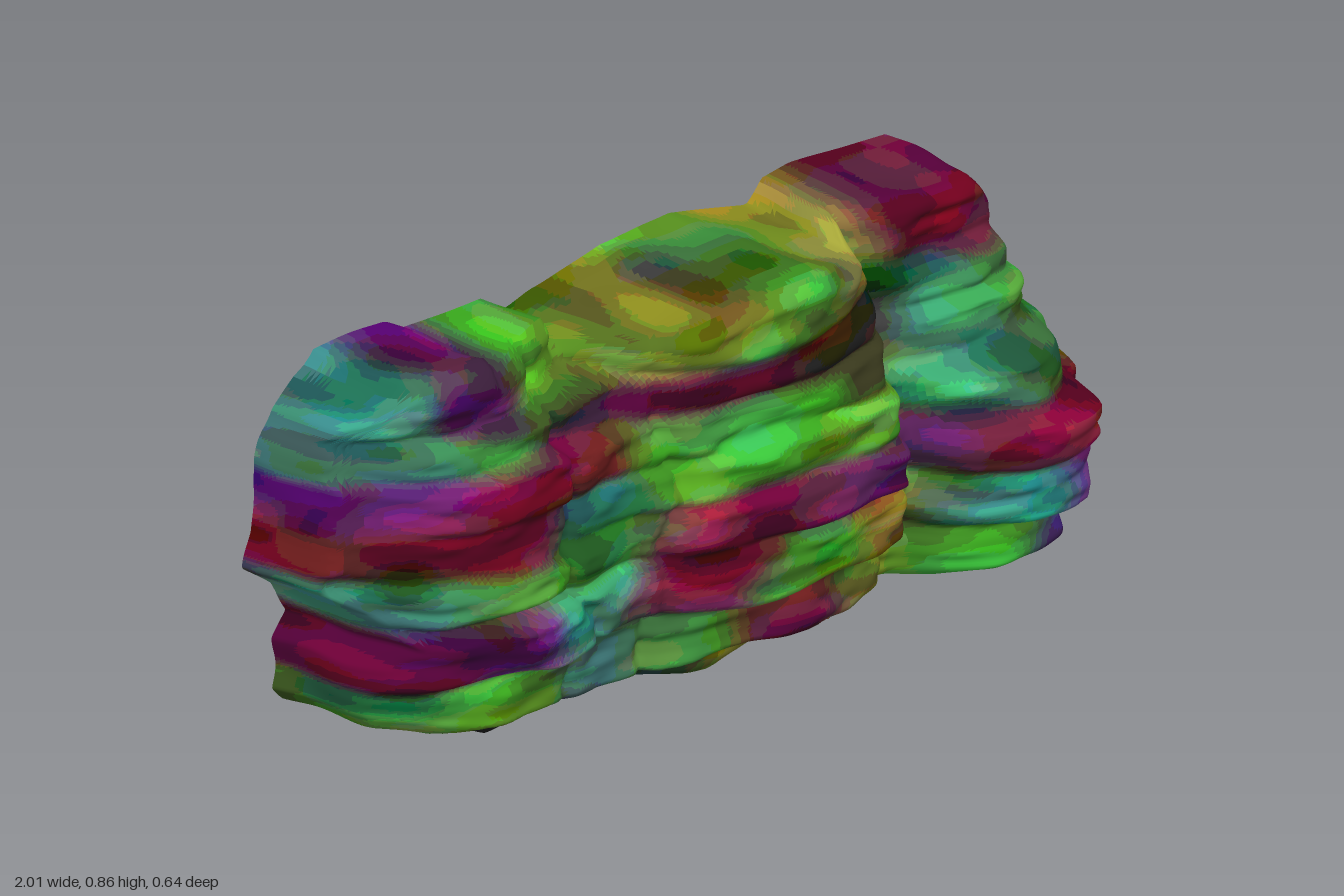
import * as THREE from 'three';

const { clamp, smoothstep } = THREE.MathUtils;

// Piecewise-linear lookup through [input, output] pairs
function lookup(pairs, v) {
  if (v <= pairs[0][0]) return pairs[0][1];
  for (let i = 1; i < pairs.length; i++) {
    const [a, p] = pairs[i - 1], [b, q] = pairs[i];
    if (v <= b) return p + (q - p) * (v - a) / (b - a);
  }
  return pairs[pairs.length - 1][1];
}

// Seeded smooth value noise, -1..1
function hash(x, y, z) {
  const s = Math.sin(x * 127.1 + y * 311.7 + z * 74.7) * 43758.5453;
  return (s - Math.floor(s)) * 2 - 1;
}
function noise(x, y, z) {
  const f = [x, y, z].map(Math.floor);
  const t = [x - f[0], y - f[1], z - f[2]].map(v => v * v * (3 - 2 * v));
  let sum = 0;
  for (let c = 0; c < 8; c++) {
    const o = [c & 1, (c >> 1) & 1, c >> 2];
    const w = o.reduce((p, k, i) => p * (k ? t[i] : 1 - t[i]), 1);
    sum += w * hash(f[0] + o[0], f[1] + o[1], f[2] + o[2]);
  }
  return sum;
}

// Silhouette of the rock: ends against height, then top and underside against the share of the half width
const LEFT = [[0.1, -0.88], [0.14, -0.92], [0.25, -0.92], [0.3, -0.88], [0.37, -0.93], [0.42, -1], [0.5, -0.98], [0.65, -0.97], [0.75, -0.93], [0.83, -0.84]];
const RIGHT = [[0.07, 0.88], [0.15, 0.92], [0.3, 0.93], [0.37, 0.98], [0.42, 1], [0.5, 0.98], [0.58, 0.95], [0.65, 0.9], [0.72, 0.88], [0.83, 0.84]];
const TOP = [[-1, 0.8], [-0.97, 0.845], [-0.72, 0.85], [-0.69, 0.82], [-0.385, 0.82], [-0.31, 0.765], [-0.26, 0.78], [-0.22, 0.8], [0, 0.845], [0.24, 0.85], [0.49, 0.81], [0.55, 0.85], [0.65, 0.857], [0.97, 0.845], [1, 0.82]];
const BOTTOM = [[-1, 0.11], [-0.8, 0.065], [-0.68, 0.025], [-0.28, 0.04], [0, 0.01], [0.23, 0.02], [0.27, 0.06], [0.51, 0.07], [1, 0.07]];

// Depth of the front of each stratum (bottom to top) at these x stations
const STATIONS = [-0.95, -0.8, -0.6, -0.4, -0.28, -0.21, -0.1, 0.15, 0.38, 0.47, 0.55, 0.7, 0.84, 0.93];
const DEPTH = [
  [-0.25, -0.15, 0, -0.03, -0.05, -0.01, 0.03, 0.02, 0.02, 0, 0.08, 0.13, 0.08, -0.05],
  [-0.15, 0.04, 0.08, 0.06, 0.05, 0.07, 0.1, 0.13, 0.1, 0.05, 0.14, 0.19, 0.16, 0],
  [-0.1, 0.1, 0.15, 0.12, 0.08, 0.12, 0.17, 0.2, 0.18, 0.1, 0.23, 0.285, 0.25, 0.08],
  [-0.12, 0.07, 0.12, 0.1, 0.08, 0.12, 0.17, 0.21, 0.19, 0.1, 0.25, 0.31, 0.26, 0.08],
  [-0.1, 0.04, 0.09, 0.08, 0.07, 0.11, 0.15, 0.18, 0.16, 0.08, 0.16, 0.22, 0.16, 0.02],
  [-0.12, 0.05, 0.11, 0.08, 0.05, 0.08, 0.13, 0.15, 0.12, 0.03, 0.07, 0.1, 0.06, -0.05],
  [-0.18, 0, 0.06, 0.02, 0, 0.06, 0.11, 0.135, 0.09, 0, 0.03, 0.04, 0.01, -0.1],
  [-0.2, -0.03, 0, -0.08, -0.12, 0.06, 0.14, 0.17, 0.07, -0.08, -0.02, -0.01, -0.04, -0.15],
];
const JOINTS = [0.07, 0.2, 0.325, 0.435, 0.53, 0.64, 0.72]; // heights between strata
const SPLITS = [-0.45, -0.2, 0.45];                         // x of upright cracks
const BACK = -0.316;

// Stone colours along each stratum (bottom to top), left to right
const PALETTE = {
  g: [0.27, 0.62, 0.17], d: [0.14, 0.2, 0.1], m: [0.42, 0.06, 0.2], p: [0.4, 0.1, 0.45],
  n: [0.15, 0.1, 0.36], t: [0.22, 0.58, 0.46], o: [0.46, 0.48, 0.12],
};
const COLOURS = ['ddddoddd', 'ggtgmogn', 'mptmgotp', 'tggmmpmm', 'mmtgggtg', 'pmmggdtg', 'tgdmmdtg', 'tpgogomm'];

const jointHeight = (k, x) => JOINTS[k] + 0.012 * noise(x * 4, k * 9, 1);

// Rounded interpolation of one stratum's depth, without overshoot
function rowDepth(k, x) {
  const Z = DEPTH[k], S = STATIONS, last = S.length - 1;
  const slope = i => (Z[i + 1] - Z[i]) / (S[i + 1] - S[i]);
  const tangent = i => {
    const a = slope(Math.max(i - 1, 0)), b = slope(Math.min(i, last - 1));
    return a * b <= 0 ? 0 : 2 * a * b / (a + b);
  };
  const v = clamp(x, S[0], S[last]);
  const i = Math.min(S.filter(s => s <= v).length - 1, last - 1);
  const h = S[i + 1] - S[i], t = (v - S[i]) / h, u = 1 - t;
  return u * u * (1 + 2 * t) * Z[i] + t * t * (3 - 2 * t) * Z[i + 1] + t * u * h * (u * tangent(i) - t * tangent(i + 1));
}

function frontDepth(x, y) {
  const rows = DEPTH.map((_, k) => rowDepth(k, x));
  let z = rows[0];
  JOINTS.forEach((_, k) => {
    const d = y - jointHeight(k, x);
    // Sharp ledge from one stratum to the next, with a crevice along it
    z += (rows[k + 1] - rows[k]) * smoothstep(d, -0.018, 0.018);
    z -= (k === 2 ? 0.04 : 0.02) * (0.8 + 0.6 * noise(x * 5, k * 7, 8)) * Math.exp(-((d / 0.011) ** 2));
  });
  SPLITS.forEach((s, k) => {
    const d = x - s - 0.03 * noise(k, y * 8, 5);
    z -= 0.022 * Math.exp(-((d / 0.018) ** 2));
  });
  return z + 0.014 * noise(x * 6, y * 18, 2) + 0.009 * noise(x * 14, y * 45, 3);
}

// Mottled stone colour at a point, rounded to a few steps per channel
function stoneColour(x, y, z) {
  const wx = x + 0.06 * noise(x * 6, y * 12, z * 5 + 7);
  const wy = y + 0.02 * noise(x * 5 + 20, y * 14, z * 4);
  const column = clamp((wx + 0.88) / 0.25, 0, 6.999), c = Math.floor(column);
  const blend = smoothstep(column - c, 0.2, 0.8);
  const weights = JOINTS.map((_, k) => smoothstep(wy - jointHeight(k, x), -0.022, 0.022));
  const shade = 0.88 + 0.5 * noise(x * 7 + 3, y * 24, z * 6);
  return [0, 1, 2].map(ch => {
    const layers = COLOURS.map(row => PALETTE[row[c]][ch] * (1 - blend) + PALETTE[row[c + 1]][ch] * blend);
    let v = layers[0];
    weights.forEach((w, k) => { v += (layers[k + 1] - layers[k]) * w; });
    v = v * shade + 0.13 * noise(x * 6 + ch * 31, y * 18, z * 6);
    return clamp(Math.round(v * 9), 0, 7) / 9;
  });
}

// Grid over the front that folds back at its rim into the sides, top and underside
function buildRock() {
  const nx = 170, ny = 130, skirt = 22, W = nx + 2 * skirt, H = ny + 2 * skirt;
  const pos = [], index = [];
  for (let j = 0; j <= H; j++) for (let i = 0; i <= W; i++) {
    const ci = clamp(i - skirt, 0, nx), cj = clamp(j - skirt, 0, ny);
    const e = Math.max(Math.abs(i - skirt - ci), Math.abs(j - skirt - cj)) / skirt;
    const s = ci / nx * 2 - 1, lo = lookup(BOTTOM, s), hi = lookup(TOP, s);
    let y = lo + (hi - lo) * cj / ny;
    const l = lookup(LEFT, y), r = lookup(RIGHT, y);
    const wide = l + (r - l) * ci / nx;
    let x = wide * 0.965;
    let z = frontDepth(x, y);
    const rim = Math.max(0, 1 - Math.min(hi - y, y - lo) / 0.04);
    z -= 0.04 * rim * rim;
    z += (BACK - z) * e;
    x += (wide - x) * Math.sqrt(e);
    // Weathering
    const dx = 0.012 * noise(x * 7, y * 16, z * 7), dy = 0.01 * noise(x * 7 + 40, y * 9, z * 9);
    x += dx;
    y += dy;
    pos.push(x, y, z);
  }
  for (let j = 0; j < H; j++) for (let i = 0; i < W; i++) {
    const sideI = i < skirt || i >= skirt + nx, sideJ = j < skirt || j >= skirt + ny;
    if (sideI && sideJ) continue;
    const a = j * (W + 1) + i, b = a + 1, d = a + W + 1, c = d + 1;
    index.push(a, b, c, a, c, d);
  }
  const geo = new THREE.BufferGeometry();
  geo.setAttribute('position', new THREE.Float32BufferAttribute(pos, 3));
  geo.setIndex(index);
  geo.computeVertexNormals();
  return geo;
}

export function createModel() {
  const group = new THREE.Group();
  group.name = 'layeredRock';
  const rock = buildRock(), P = rock.attributes.position, N = rock.attributes.normal, idx = rock.index.array;

  // Sort the triangles into patches of one stone colour
  const patches = new Map();
  for (let f = 0; f < idx.length; f += 3) {
    const tri = [idx[f], idx[f + 1], idx[f + 2]];
    const mid = ['getX', 'getY', 'getZ'].map(get => tri.reduce((t, v) => t + P[get](v) / 3, 0));
    const rgb = stoneColour(...mid), key = rgb.join();
    if (!patches.has(key)) patches.set(key, { rgb, p: [], n: [] });
    const { p, n } = patches.get(key);
    for (const v of tri) {
      p.push(P.getX(v), P.getY(v), P.getZ(v));
      n.push(N.getX(v), N.getY(v), N.getZ(v));
    }
  }
  for (const { rgb, p, n } of patches.values()) {
    const geo = new THREE.BufferGeometry();
    geo.setAttribute('position', new THREE.Float32BufferAttribute(p, 3));
    geo.setAttribute('normal', new THREE.Float32BufferAttribute(n, 3));
    const color = new THREE.Color().setRGB(...rgb, THREE.SRGBColorSpace);
    const mesh = new THREE.Mesh(geo, new THREE.MeshStandardMaterial({ color, side: THREE.DoubleSide }));
    mesh.name = `stonePatch${group.children.length + 1}`;
    group.add(mesh);
  }
  return group;
}
